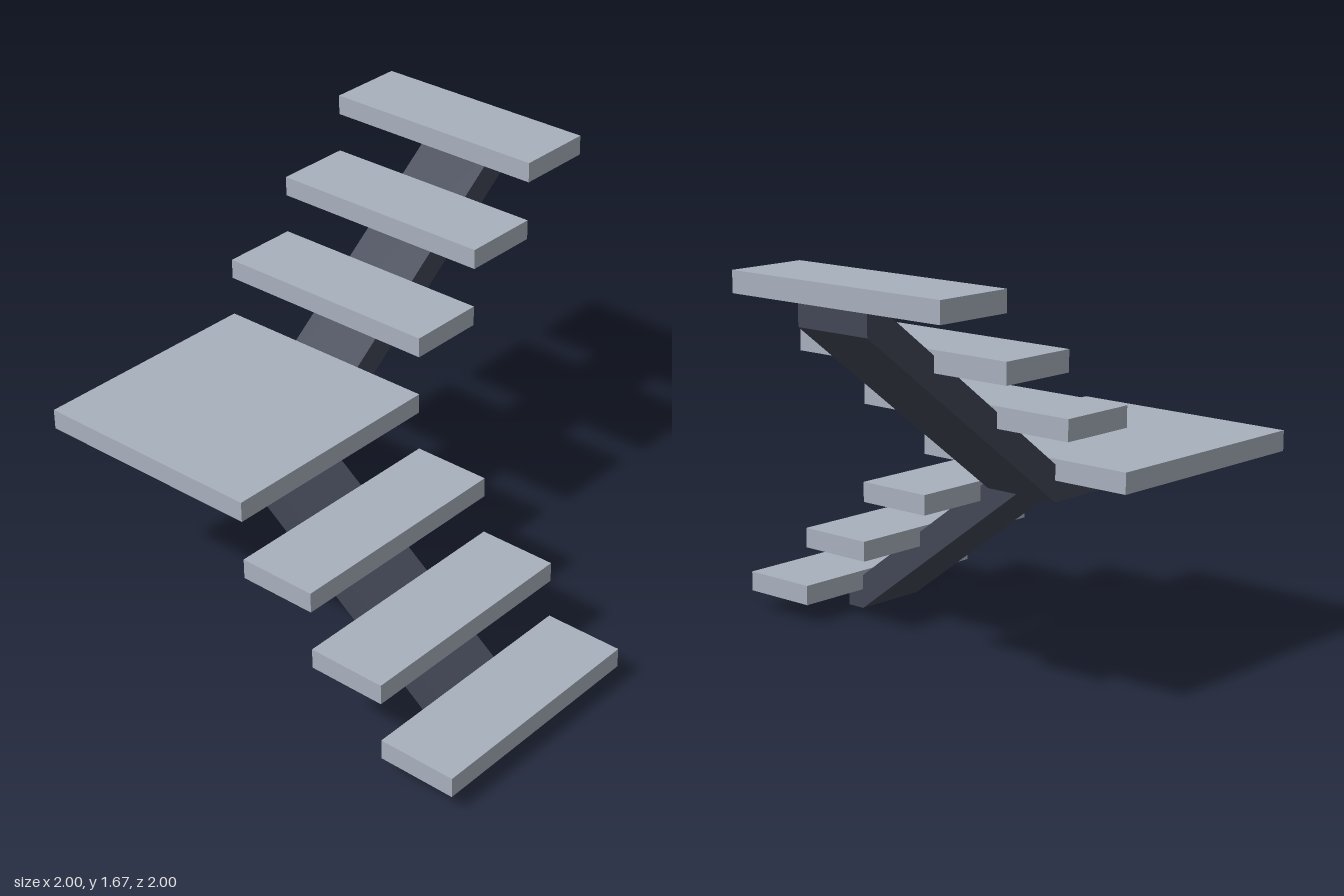
import * as THREE from 'three';

const T = 1 / 3; // tread depth and beam width
const S = 1 / 12; // slab thickness

export function createModel() {
  const stairs = new THREE.Group();
  stairs.name = 'lShapedStairs';

  const treadMat = new THREE.MeshStandardMaterial({ color: 0xa8b0bd });
  treadMat.name = 'light grey slab';
  const beamMat = new THREE.MeshStandardMaterial({ color: 0x424655 });
  beamMat.name = 'dark slate beam';

  const slab = (name, w, d, x, bottom, z) => {
    const mesh = new THREE.Mesh(new THREE.BoxGeometry(w, S, d), treadMat);
    mesh.position.set(x, bottom + S / 2, z);
    mesh.name = name;
    stairs.add(mesh);
  };

  // Beam profile extruded by the beam width, centred on its depth
  const beam = (name, points) => {
    const shape = new THREE.Shape(points.map(([x, y]) => new THREE.Vector2(x, y)));
    const geo = new THREE.ExtrudeGeometry(shape, { depth: T, bevelEnabled: false });
    geo.translate(0, 0, -T / 2);
    const mesh = new THREE.Mesh(geo, beamMat);
    mesh.name = name;
    stairs.add(mesh);
    return mesh;
  };

  // Treads of both flights
  for (let i = 0; i < 3; i++) {
    slab('lowerTread' + (i + 1), 1, T, -0.5, S + i * 0.25, 1 - T * (i + 0.5));
    slab('upperTread' + (i + 1), T, 1, T * (i + 0.5), 13 * S + i * 0.25, -0.5);
  }
  slab('landing', 1, 1, -0.5, 10 * S, -0.5);

  // Lower sloping beam: profile runs along -z after the turn
  const lower = beam('lowerBeam', [
    [-0.75, 0], [-2 * T, 0], [T, 0.75], [T, 0.75 + S], [0.25, 0.75 + S], [-0.75, S],
  ]);
  lower.rotation.y = Math.PI / 2;
  lower.position.x = -0.5;

  // Level beam under the landing, continuing into the upper sloping beam
  const upper = beam('upperBeam', [
    [-2 * T, 0.75], [0, 0.75], [1, 1.5], [1, 1.5 + S],
    [1 - S, 1.5 + S], [-S, 0.75 + S], [-2 * T, 0.75 + S],
  ]);
  upper.position.z = -0.5;

  return stairs;
}
